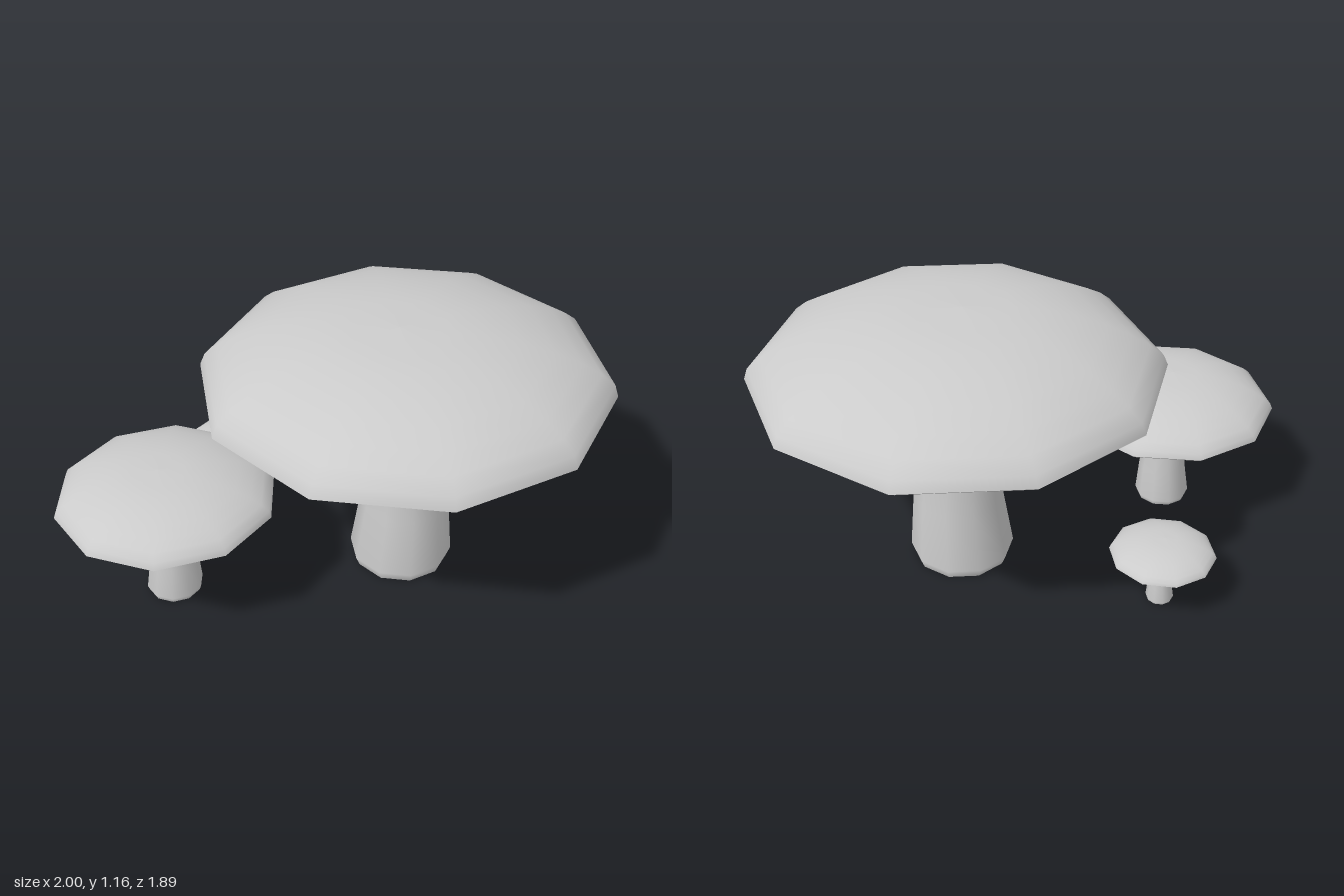
import * as THREE from 'three';

const SIDES = 10;
const material = new THREE.MeshStandardMaterial({ color: 0xcccccc });

// Ten-sided surface through rings [radius, height, x offset, z offset], listed bottom to top
function turned(rings) {
  const geometry = new THREE.LatheGeometry(rings.map(([r, y]) => new THREE.Vector2(r, y)), SIDES);
  const pos = geometry.attributes.position;
  for (let i = 0; i < pos.count; i++) {
    const [, , dx = 0, dz = 0] = rings[i % rings.length];
    pos.setX(i, pos.getX(i) + dx);
    pos.setZ(i, pos.getZ(i) + dz);
  }
  return geometry;
}

function addPart(group, name, rings) {
  const mesh = new THREE.Mesh(turned(rings), material);
  mesh.name = name;
  group.add(mesh);
}

// Slightly leaning stalk
const STALK = [
  [0.202, 0, 0.003, 0.003],
  [0.2175, 0.04, 0.002, 0.002],
  [0.187, 0.3, 0.012, -0.003],
  [0.15, 0.69, 0, -0.006],
  [0.167, 0.85, 0.002, 0.009],
  [0.168, 0.922, 0.002, 0.009],
];

// Dome with its crown a little towards the front
const DOME = [
  [0.832, 0.89],
  [0.814, 0.938, 0, -0.006],
  [0.757, 0.985, 0, -0.004],
  [0.68, 1.03],
  [0.58, 1.073, -0.003, 0.01],
  [0.46, 1.109, -0.006, 0.022],
  [0.33, 1.136, -0.01, 0.034],
  [0.2, 1.15, -0.012, 0.042],
  [0, 1.157, -0.012, 0.045],
];

function mushroom(name, x, z, scale, turnDegrees) {
  const group = new THREE.Group();
  group.name = name;

  // Stalk with a flat foot
  addPart(group, 'stalk', STALK);
  addPart(group, 'stalkFoot', [[0, 0, 0.003, 0.003], STALK[0]]);

  // Cap: smooth dome, bevelled rim and hollowed underside, with sharp edges between
  addPart(group, 'capDome', DOME);
  addPart(group, 'capRim', [[0.777, 0.849], [0.832, 0.89]]);
  addPart(group, 'capUnderside', [[0.14, 0.922], [0.45, 0.892], [0.777, 0.849]]);

  group.position.set(x, 0, z);
  group.rotation.y = THREE.MathUtils.degToRad(turnDegrees);
  group.scale.setScalar(scale);
  return group;
}

export function createModel() {
  const model = new THREE.Group();
  model.name = 'mushroomCluster';
  model.add(
    mushroom('largeMushroom', 0.207, -0.117, 1, 0),
    mushroom('mediumMushroom', -0.556, 0.502, 0.54, -9.7),
    mushroom('smallMushroom', -0.662, -0.219, 0.259, -12.6),
  );
  return model;
}
